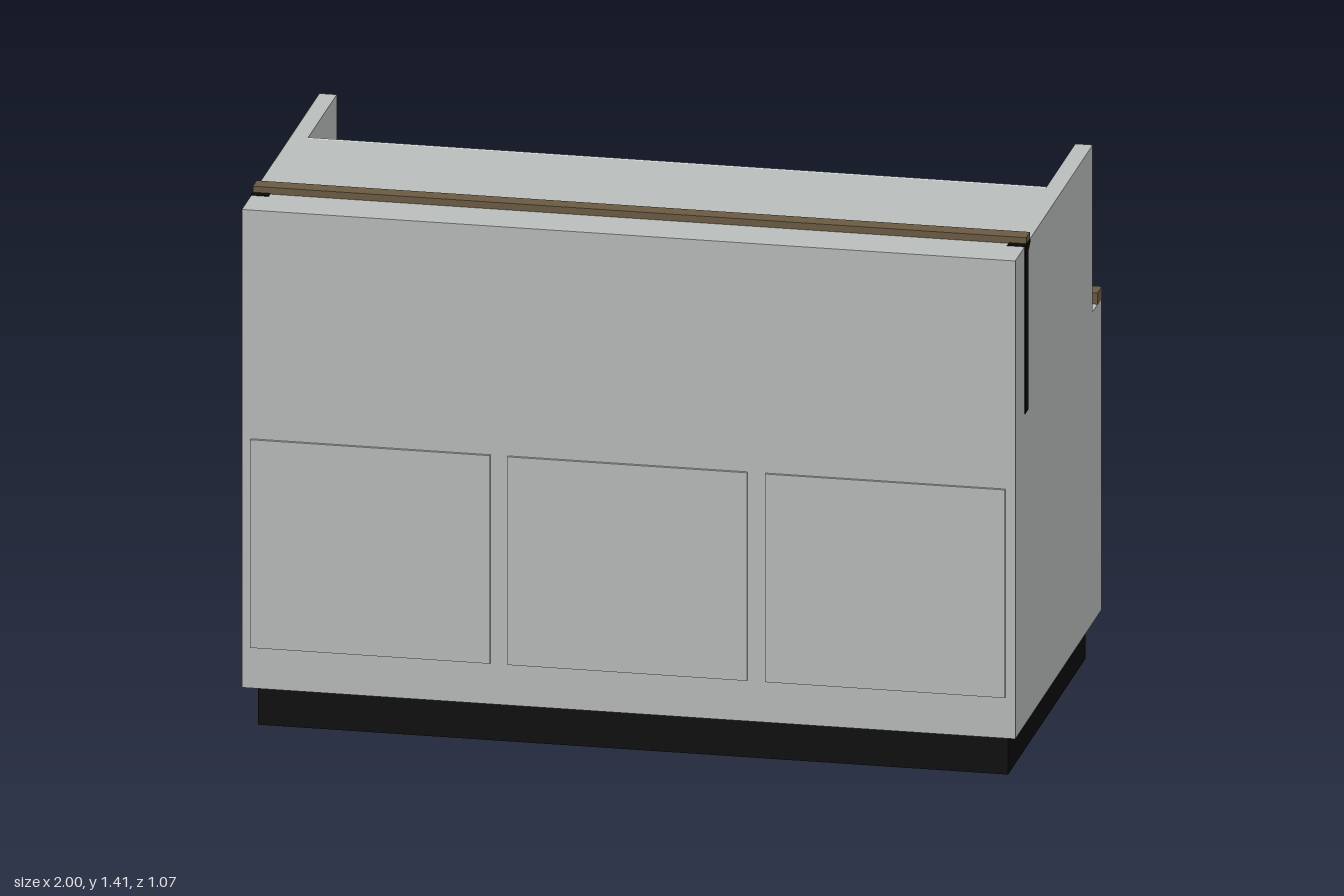
import * as THREE from 'three';

export function createModel() {
  const model = new THREE.Group();
  const mat = (name, color) => {
    const m = new THREE.MeshStandardMaterial({ color });
    m.name = name;
    return m;
  };
  const grey = mat('grey laminate', 0xb8bcba);
  const pale = mat('pale display panel', 0xd0d7d5);
  const black = mat('black trim', 0x0b0b0b);
  const wood = mat('brown wood', 0x6b5a42);

  const add = (name, geometry, material) => {
    const mesh = new THREE.Mesh(geometry, material);
    mesh.name = name;
    model.add(mesh);
    return mesh;
  };
  // Box given by its minimum and maximum on each axis
  const box = (name, material, [x0, x1], [y0, y1], [z0, z1]) => {
    const mesh = add(name, new THREE.BoxGeometry(x1 - x0, y1 - y0, z1 - z0), material);
    mesh.position.set((x0 + x1) / 2, (y0 + y1) / 2, (z0 + z1) / 2);
  };
  // Side profile of [z, y] points, extruded along x
  const slab = (name, material, points, x0, x1) => {
    const shape = new THREE.Shape(points.map(([z, y]) => new THREE.Vector2(-z, y)));
    const geometry = new THREE.ExtrudeGeometry(shape, { depth: x1 - x0, bevelEnabled: false });
    geometry.rotateY(Math.PI / 2).translate(x0, 0, 0);
    add(name, geometry, material);
  };

  const inner = 0.955, base = 0.115, ledge = 0.945, top = 1.39;

  // Recessed plinth
  box('plinth', black, [-0.97, 0.97], [0, base], [-0.475, 0.475]);

  // Counter core with sloping back
  slab('counterBody', grey, [
    [0.53, base], [0.53, top], [-0.06, top], [-0.5, ledge], [-0.53, ledge], [-0.53, base],
  ], -inner, inner);

  // Sloping display panel, a thin plate on the core
  slab('displayPanel', pale, [
    [-0.06, top], [-0.063, top + 0.002], [-0.503, ledge + 0.002], [-0.5, ledge],
  ], -inner, inner);

  // Stepped end panels, posts and small rail brackets
  for (const side of [-1, 1]) {
    const span = (a, b) => (side > 0 ? [a, b] : [-b, -a]);
    slab('endPanel', grey, [
      [0.53, base], [0.53, top], [-0.42, top], [-0.42, ledge], [-0.53, ledge], [-0.53, base],
    ], ...span(inner, 1));
    box('railPost', black, span(inner, 1.002), [ledge, top + 0.002], [0.375, 0.415]);
    slab('railBracket', black, [
      [0.376, 1.368], [0.376, top + 0.001], [0.352, top + 0.001], [0.352, 1.385],
    ], ...span(inner, 1.002));
  }

  // Wooden rails
  box('topRail', wood, [-1, 1], [top, 1.408], [0.348, 0.395]);
  box('backRail', wood, [-1, 1], [0.943, 0.975], [-0.535, -0.48]);

  // Three raised front panels
  for (const x of [-0.667, -0.002, 0.665]) {
    box('frontPanel', grey, [x - 0.31, x + 0.31], [0.225, 0.78], [0.53, 0.538]);
  }
  return model;
}
